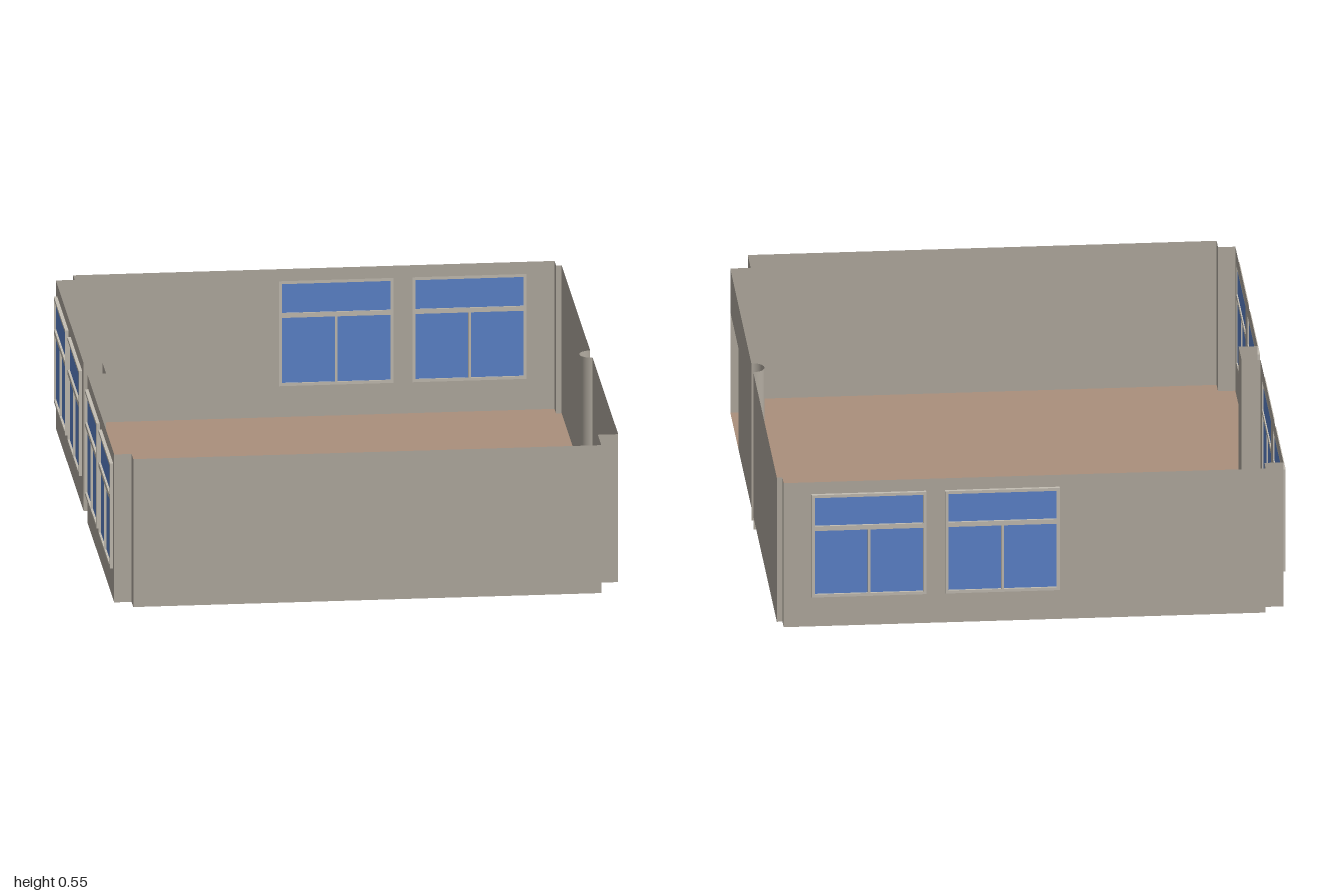
import * as THREE from 'three';

const FLOOR = 0.046, TOP = 0.545;
const WIN_W = 0.37, WIN_Y0 = 0.15, WIN_Y1 = 0.504, WIN_DEPTH = 0.011;

const wallMat = new THREE.MeshStandardMaterial({ color: 0xb3aca1, side: THREE.DoubleSide });
wallMat.name = 'wall plaster';
const floorMat = new THREE.MeshStandardMaterial({ color: 0xab907c, side: THREE.DoubleSide });
floorMat.name = 'floor brown';
const frameMat = new THREE.MeshStandardMaterial({ color: 0xc4beb3 });
frameMat.name = 'window frame';
const glassMat = new THREE.MeshStandardMaterial({ color: 0x5c84cc, side: THREE.DoubleSide });
glassMat.name = 'blue glass';

function mesh(name, geometry, material) {
  const m = new THREE.Mesh(geometry, material);
  m.name = name;
  return m;
}

function rect(x0, y0, x1, y1, Type = THREE.Path) {
  const p = new Type();
  p.moveTo(x0, y0);
  p.lineTo(x1, y0);
  p.lineTo(x1, y1);
  p.lineTo(x0, y1);
  p.closePath();
  return p;
}

// Window with one wide pane above a transom and two panes below
function makeWindow(s) {
  const g = new THREE.Group();
  g.name = 'window';
  const t = 0.01, mid = s + WIN_W / 2;
  const frame = rect(s, WIN_Y0, s + WIN_W, WIN_Y1, THREE.Shape);
  frame.holes.push(
    rect(s + t, 0.396, s + WIN_W - t, WIN_Y1 - t),
    rect(s + t, WIN_Y0 + t, mid - 0.004, 0.38),
    rect(mid + 0.004, WIN_Y0 + t, s + WIN_W - t, 0.38)
  );
  g.add(mesh('windowFrame', new THREE.ExtrudeGeometry(frame, { depth: WIN_DEPTH, bevelEnabled: false }), frameMat));
  const glass = mesh('windowGlass', new THREE.PlaneGeometry(WIN_W - t, WIN_Y1 - WIN_Y0 - t), glassMat);
  glass.position.set(mid, (WIN_Y0 + WIN_Y1) / 2, 0.004);
  g.add(glass);
  return g;
}

// Thin wall from a to b (x, z), outside facing its local +z
function makeWall(a, b, { windows = [], door } = {}) {
  const g = new THREE.Group();
  g.name = 'wall';
  const dx = b[0] - a[0], dz = b[1] - a[1], len = Math.hypot(dx, dz);
  const shape = new THREE.Shape();
  shape.moveTo(0, FLOOR);
  if (door) {
    shape.lineTo(door[0], FLOOR);
    shape.lineTo(door[0], door[2]);
    shape.lineTo(door[1], door[2]);
    shape.lineTo(door[1], FLOOR);
  }
  shape.lineTo(len, FLOOR);
  shape.lineTo(len, TOP);
  shape.lineTo(0, TOP);
  shape.closePath();
  for (const s of windows) {
    shape.holes.push(rect(s, WIN_Y0, s + WIN_W, WIN_Y1));
    g.add(makeWindow(s));
  }
  g.add(mesh('wallPanel', new THREE.ShapeGeometry(shape), wallMat));
  g.position.set(a[0], 0, a[1]);
  g.rotation.y = Math.atan2(-dz, dx);
  return g;
}

export function createModel() {
  const room = new THREE.Group();
  room.name = 'room';

  // Plan outline, walked with the outside on the right
  const colZ = 0.021, colR = 0.039, R = 0.823, L = -0.813, B = -0.989;
  const outline = [
    { p: [-0.757, 1] },
    { p: [0.757, 1] },
    { p: [0.757, 0.888] },
    { p: [R, 0.888], door: [0.01, 0.316, 0.396] },
    { p: [R, colZ + colR], column: true },
    { p: [R, colZ - colR] },
    { p: [R, -0.94] },
    { p: [0.805, -0.94] },
    { p: [0.805, B], windows: [0.09, 0.521] },
    { p: [-0.752, B] },
    { p: [-0.752, -0.94] },
    { p: [L, -0.94], windows: [0.041, 0.478] },
    { p: [L, -0.044] },
    { p: [-0.752, -0.044] },
    { p: [-0.752, 0.075] },
    { p: [L, 0.075], windows: [0.031, 0.466] },
    { p: [L, 0.944] },
    { p: [-0.757, 0.944] }
  ];

  // Walls and floor edge
  const floorShape = new THREE.Shape();
  outline.forEach((o, i) => {
    const next = outline[(i + 1) % outline.length];
    if (i === 0) floorShape.moveTo(o.p[0], -o.p[1]);
    else floorShape.lineTo(o.p[0], -o.p[1]);
    if (o.column) floorShape.absarc(R, -colZ, colR, -Math.PI / 2, Math.PI / 2, true);
    else room.add(makeWall(o.p, next.p, o));
  });

  const floor = mesh('floor', new THREE.ShapeGeometry(floorShape, 16), floorMat);
  floor.rotation.x = -Math.PI / 2;
  floor.position.y = FLOOR;
  room.add(floor);

  // Half-round column bulging into the room, open to the outside
  const column = mesh('column',
    new THREE.CylinderGeometry(colR, colR, TOP, 24, 1, true, Math.PI, Math.PI), wallMat);
  column.position.set(R, TOP / 2, colZ);
  room.add(column);

  return room;
}
